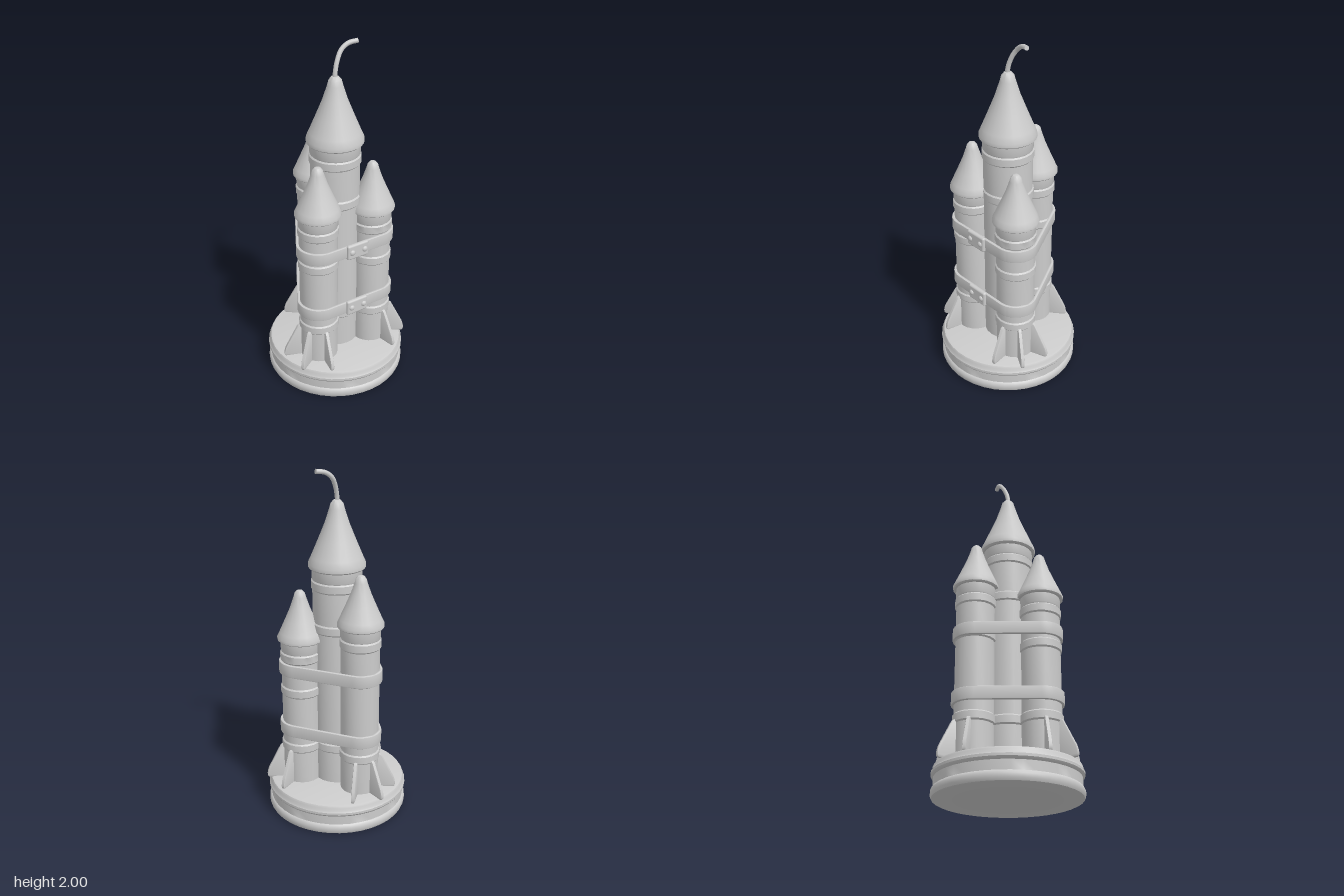
import * as THREE from 'three';
import { toCreasedNormals } from 'three/addons/utils/BufferGeometryUtils.js';
import { RoundedBoxGeometry } from 'three/addons/geometries/RoundedBoxGeometry.js';

const material = new THREE.MeshStandardMaterial({ color: 0xcccccc });

function add(parent, name, geometry, x = 0, y = 0, z = 0) {
  const mesh = new THREE.Mesh(geometry, material);
  mesh.name = name;
  mesh.position.set(x, y, z);
  parent.add(mesh);
  return mesh;
}

// Solid of revolution from [radius, height] pairs, listed bottom to top
function lathe(points, segments) {
  const profile = points.map(([r, y]) => new THREE.Vector2(r, y));
  return toCreasedNormals(new THREE.LatheGeometry(profile, segments), 0.6);
}

// Tube body with raised rings and a flared nose cone
function addRocket(parent, { radius, noseRadius, noseBase, noseHeight, rings, segments }) {
  const body = [[0, 0.17], [radius, 0.17]];
  for (const y of rings) {
    body.push([radius, y - 0.028], [radius + 0.007, y - 0.02],
      [radius + 0.007, y + 0.02], [radius, y + 0.028]);
  }
  body.push([radius + 0.003, noseBase - 0.055], [radius + 0.003, noseBase + 0.01]);
  add(parent, 'body', lathe(body, segments));

  const nose = [[0, 0], [0.95, 0], [1, 0.02], [1, 0.075], [0.9, 0.17], [0.67, 0.4],
    [0.43, 0.65], [0.27, 0.86], [0.22, 0.94], [0.13, 0.985], [0, 1]];
  add(parent, 'noseCone', lathe(nose.map(([r, y]) => [r * noseRadius, y * noseHeight]), segments),
    0, noseBase, 0);
}

// Swept fin, pointing along +x
function finGeometry() {
  const s = new THREE.Shape();
  s.moveTo(0.09, 0.18);
  s.lineTo(0.195, 0.18);
  s.quadraticCurveTo(0.204, 0.18, 0.203, 0.2);
  s.quadraticCurveTo(0.2, 0.225, 0.19, 0.245);
  s.lineTo(0.125, 0.375);
  s.quadraticCurveTo(0.117, 0.388, 0.09, 0.388);
  s.closePath();
  const g = new THREE.ExtrudeGeometry(s, {
    depth: 0.008, bevelEnabled: true, bevelThickness: 0.006, bevelSize: 0.005,
    bevelSegments: 2, curveSegments: 4,
  });
  return toCreasedNormals(g.translate(0, 0, -0.004), 0.7);
}

// Strap pulled tight around the three boosters
function strapGeometry(centres, height) {
  const trace = (path, r) => {
    centres.forEach(([x, z], i) => {
      const start = Math.PI / 6 + i * Math.PI * 2 / 3;
      path.absarc(x, -z, r, start, start + Math.PI * 2 / 3, false);
    });
    path.closePath();
    return path;
  };
  const shape = trace(new THREE.Shape(), 0.119);
  shape.holes.push(trace(new THREE.Path(), 0.109));
  const g = new THREE.ExtrudeGeometry(shape, {
    depth: height - 0.012, bevelEnabled: true, bevelThickness: 0.006, bevelSize: 0.004,
    bevelSegments: 2, curveSegments: 12,
  });
  g.translate(0, 0, -(height - 0.012) / 2).rotateX(-Math.PI / 2);
  return toCreasedNormals(g, 0.7);
}

export function createModel() {
  const model = new THREE.Group();
  model.name = 'fireworkRocketCluster';

  // Stepped round stand
  add(model, 'base', lathe([
    [0, 0], [0.385, 0], [0.397, 0.006], [0.403, 0.02], [0.403, 0.042], [0.396, 0.056],
    [0.39, 0.06], [0.39, 0.112], [0.396, 0.116], [0.403, 0.126], [0.403, 0.14],
    [0.396, 0.15], [0.394, 0.165], [0.388, 0.176], [0.375, 0.18], [0, 0.18],
  ], 40));

  // Central rocket
  const core = new THREE.Group();
  core.name = 'coreRocket';
  model.add(core);
  addRocket(core, {
    radius: 0.137, noseRadius: 0.158, noseBase: 1.45, noseHeight: 0.375,
    rings: [0.4, 1.12, 1.36], segments: 24,
  });

  // Boosters of different heights, each with three fins: [x, z, outward angle, nose base]
  const boosters = [
    ['backBooster', 0, -0.205, 90, 1.165],
    ['rightBooster', -0.178, 0.104, 210, 1.1],
    ['leftBooster', 0.178, 0.104, 330, 1.04],
  ];
  const fin = finGeometry();
  for (const [name, x, z, angle, noseBase] of boosters) {
    const booster = new THREE.Group();
    booster.name = name;
    booster.position.set(x, 0, z);
    model.add(booster);
    addRocket(booster, {
      radius: 0.108, noseRadius: 0.129, noseBase, noseHeight: 0.29,
      rings: [0.4, noseBase - 0.295, noseBase - 0.09], segments: 20,
    });
    for (const turn of [-50, 0, 50]) {
      add(booster, 'fin', fin).rotation.y = THREE.MathUtils.degToRad(angle + turn);
    }
  }

  // Straps with riveted clasp plates at the front
  const strap = strapGeometry(boosters.map(b => [b[1], b[2]]), 0.072);
  const plate = new RoundedBoxGeometry(0.136, 0.09, 0.026, 3, 0.011);
  const rivet = new THREE.SphereGeometry(0.017, 14, 10).scale(1, 1, 0.75);
  for (const y of [0.515, 0.885]) {
    add(model, 'strap', strap, 0, y, 0);
    add(model, 'claspPlate', plate, -0.003, y, 0.23);
    for (const x of [-0.043, 0.038]) add(model, 'rivet', rivet, x, y, 0.241);
  }

  // Curved fuse with a closed tip
  const path = new THREE.CatmullRomCurve3([
    [-0.003, 1.79, 0], [0, 1.84, 0], [0.018, 1.9, -0.008],
    [0.05, 1.95, -0.018], [0.09, 1.978, -0.014], [0.14, 1.987, 0],
  ].map(p => new THREE.Vector3(...p)));
  add(model, 'fuse', new THREE.TubeGeometry(path, 24, 0.013, 10));
  const tip = add(model, 'fuseTip', new THREE.CircleGeometry(0.013, 10), 0.14, 1.987, 0);
  tip.quaternion.setFromUnitVectors(new THREE.Vector3(0, 0, 1), path.getTangent(1));

  return model;
}
